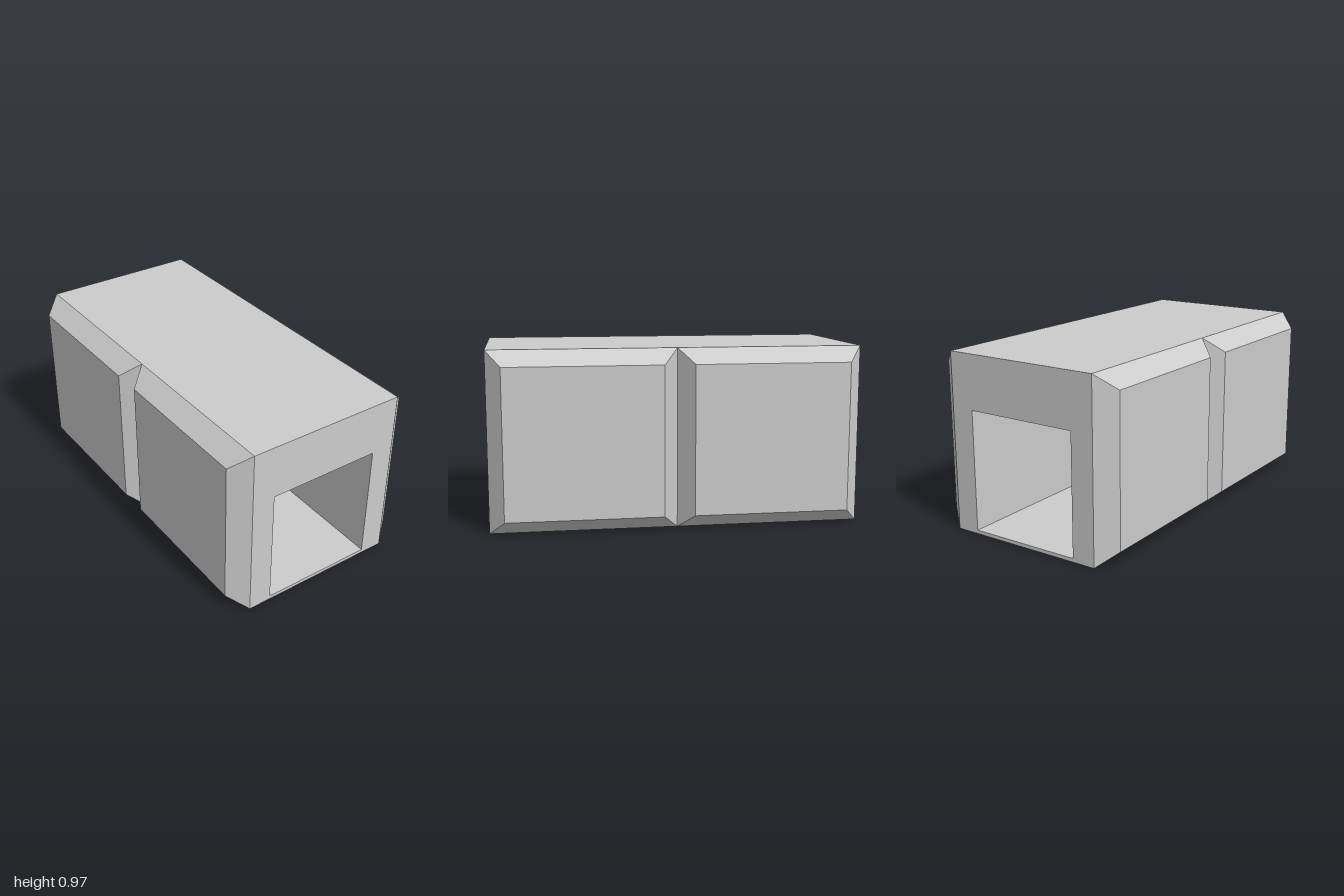
import * as THREE from 'three';

const HALF_W = 0.445, HEIGHT = 0.968, DEPTH = 2;
const PANEL_T = 0.1, BEVEL = 0.081;

const material = new THREE.MeshStandardMaterial({ color: 0xcccccc, flatShading: true });

// Rectangular tube, open from front to back
function makeTunnel() {
  const shape = new THREE.Shape([
    new THREE.Vector2(-HALF_W, 0), new THREE.Vector2(HALF_W, 0),
    new THREE.Vector2(HALF_W, HEIGHT), new THREE.Vector2(-HALF_W, HEIGHT),
  ]);
  shape.holes.push(new THREE.Path([
    new THREE.Vector2(-0.317, 0.02), new THREE.Vector2(-0.317, 0.673),
    new THREE.Vector2(0.315, 0.673), new THREE.Vector2(0.315, 0.02),
  ]));
  const geometry = new THREE.ExtrudeGeometry(shape, { depth: DEPTH, bevelEnabled: false });
  geometry.translate(0, 0, -DEPTH / 2);
  return new THREE.Mesh(geometry, material);
}

// Side block whose outer face is drawn in on all four edges
function makePanel(side, z) {
  const geometry = new THREE.BoxGeometry(PANEL_T, HEIGHT, DEPTH / 2);
  const p = geometry.attributes.position;
  for (let i = 0; i < p.count; i++) {
    if (p.getX(i) * side > 0) {
      p.setY(i, p.getY(i) - Math.sign(p.getY(i)) * BEVEL);
      p.setZ(i, p.getZ(i) - Math.sign(p.getZ(i)) * BEVEL);
    }
  }
  geometry.computeVertexNormals();
  const mesh = new THREE.Mesh(geometry, material);
  mesh.position.set(side * (HALF_W + PANEL_T / 2), HEIGHT / 2, z);
  return mesh;
}

export function createModel() {
  const model = new THREE.Group();
  model.name = 'tunnelSegment';

  const tunnel = makeTunnel();
  tunnel.name = 'tunnel';
  model.add(tunnel);

  // Two bevelled panels on each side
  for (const side of [1, -1]) {
    for (const z of [0.5, -0.5]) {
      const panel = makePanel(side, z);
      panel.name = (side > 0 ? 'left' : 'right') + (z > 0 ? 'Front' : 'Back') + 'Panel';
      model.add(panel);
    }
  }
  return model;
}
